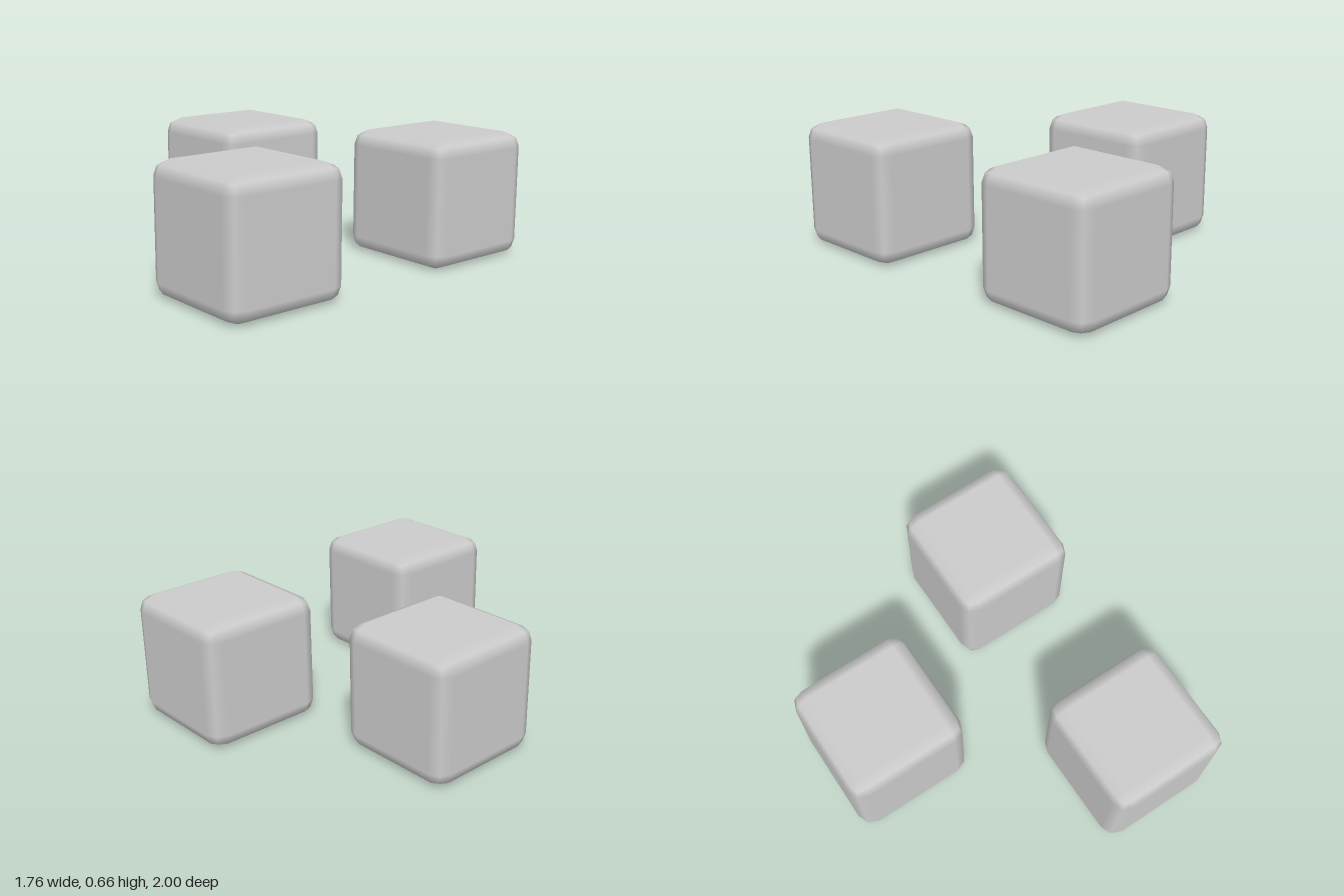
import * as THREE from 'three';
import { RoundedBoxGeometry } from 'three/addons/geometries/RoundedBoxGeometry.js';

const SIZE = 0.66;
const BEVEL = 0.08;
const TURN = -0.096;

export function createModel() {
  const group = new THREE.Group();
  group.name = 'cubes';
  const material = new THREE.MeshStandardMaterial({ color: 0xcccccc });
  // One soft-edged cube with a two-step bevel, shared by all three
  const geometry = new RoundedBoxGeometry(SIZE, SIZE, SIZE, 1, BEVEL);

  // Name and centre (x, z) of each cube, all turned the same way
  const cubes = [
    ['rightCube', -0.527, -0.215],
    ['backCube', 0.524, -0.648],
    ['frontCube', 0.437, 0.647],
  ];
  for (const [name, x, z] of cubes) {
    const cube = new THREE.Mesh(geometry, material);
    cube.name = name;
    cube.position.set(x, SIZE / 2, z);
    cube.rotation.y = TURN;
    group.add(cube);
  }
  return group;
}
